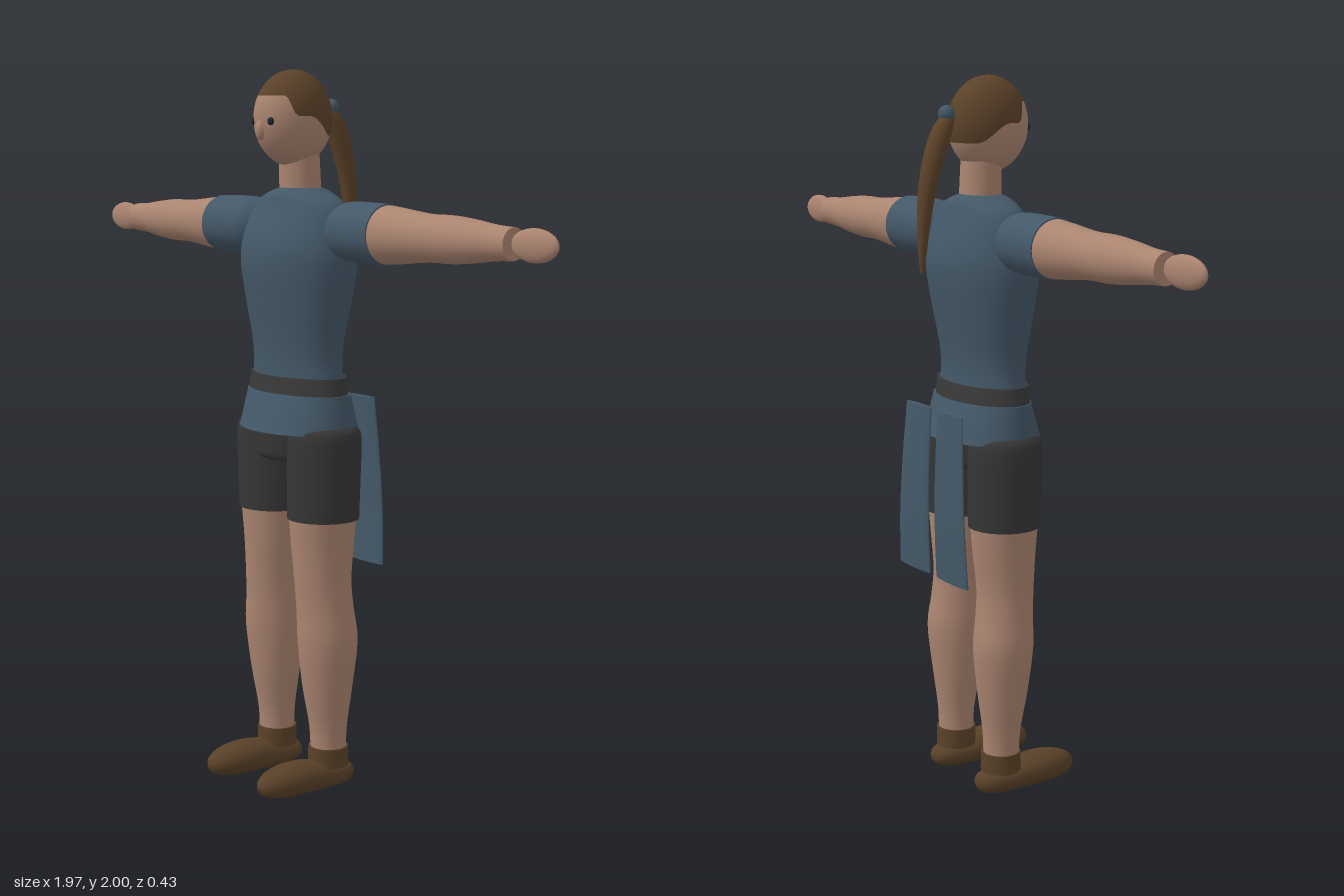
import * as THREE from 'three';

const mat = (name, color, side = THREE.FrontSide) => {
  const m = new THREE.MeshStandardMaterial({ color, side });
  m.name = name;
  return m;
};

// Stacked ellipses; rows run upward as [y, centreX, centreZ, radiusX, radiusZ].
// steps > 1 smooths the profile between rows.
function loft(rows, steps = 1, seg = 32) {
  const curve = new THREE.CubicInterpolant(rows.map((_, i) => i), rows.flat(), 5);
  const count = (rows.length - 1) * steps + 1;
  const pos = [], idx = [];
  const ring = (r) => {
    for (let j = 0; j < seg; j++) {
      const a = (j / seg) * Math.PI * 2;
      pos.push(r[1] + r[3] * Math.cos(a), r[0], r[2] + r[4] * Math.sin(a));
    }
  };
  for (let i = 0; i < count; i++) {
    ring(i % steps === 0 ? rows[i / steps] : Array.from(curve.evaluate(i / steps)));
    if (i === 0) continue;
    for (let j = 0; j < seg; j++) {
      const k = (j + 1) % seg, lo = (i - 1) * seg, hi = i * seg;
      idx.push(lo + j, hi + j, lo + k, hi + j, hi + k, lo + k);
    }
  }
  // End caps
  [[rows[0], false], [rows[rows.length - 1], true]].forEach(([r, top]) => {
    const start = pos.length / 3;
    ring(r);
    pos.push(r[1], r[0], r[2]);
    for (let j = 0; j < seg; j++) {
      const a = start + j, b = start + (j + 1) % seg, c = start + seg;
      idx.push(...(top ? [c, b, a] : [c, a, b]));
    }
  });
  const g = new THREE.BufferGeometry();
  g.setAttribute('position', new THREE.Float32BufferAttribute(pos, 3));
  g.setIndex(idx);
  g.computeVertexNormals();
  return g;
}

// Part of the head ellipsoid above (hair) or below (face) the hairline
function headPart(hair) {
  const R = new THREE.Vector3(0.093, 0.13, 0.115);
  const g = hair ? new THREE.SphereGeometry(1, 64, 20, 0, Math.PI * 2, 0, 1)
    : new THREE.SphereGeometry(1, 64, 24, 0, Math.PI * 2, 0.5, Math.PI);
  const { position, normal, uv } = g.attributes;
  const p = new THREE.Vector3(), smooth = THREE.MathUtils.smoothstep;
  for (let i = 0; i < position.count; i++) {
    const phi = uv.getX(i) * Math.PI * 2, t = 1 - uv.getY(i), front = Math.sin(phi);
    const line = Math.acos(0.04 + 0.42 * smooth(front, 0.4, 0.7) - 0.4 * (1 - smooth(front, -0.7, 0.1)));
    const theta = hair ? t * line : line + t * (Math.PI - line);
    p.set(-Math.cos(phi) * Math.sin(theta), Math.cos(theta), front * Math.sin(theta));
    position.setXYZ(i, p.x * R.x, p.y * R.y, p.z * R.z);
    p.divide(R).normalize();
    normal.setXYZ(i, p.x, p.y, p.z);
  }
  return g.translate(0, 1.87, 0.008);
}

export function createModel() {
  const model = new THREE.Group();
  model.name = 'figure';
  const skin = mat('skin', 0xaa8470), cloth = mat('blue cloth', 0x445868);
  const dark = mat('dark shorts', 0x363636), leather = mat('belt', 0x3a3a3b);
  const hair = mat('brown hair', 0x5c4229), shoe = mat('brown leather', 0x594128);
  const eye = mat('eye', 0x22262e);

  const add = (name, geometry, material) => {
    const m = new THREE.Mesh(geometry, material);
    m.name = name;
    model.add(m);
    return m;
  };
  const ball = (name, material, c, r) => {
    const m = add(name, new THREE.SphereGeometry(1, 24, 16), material);
    m.position.set(...c);
    m.scale.set(...r);
    return m;
  };

  // Head and neck
  add('face', headPart(false), skin);
  add('hair', headPart(true), hair);
  ball('nose', skin, [0, 1.838, 0.117], [0.015, 0.027, 0.015]);
  add('neck', loft([[1.65, 0, -0.018, 0.058, 0.058], [1.81, 0, -0.012, 0.055, 0.055]]), skin);

  // Ponytail and its tie
  add('ponytail', loft([
    [1.48, 0, -0.201, 0.005, 0.005], [1.53, 0, -0.2, 0.012, 0.011], [1.6, 0, -0.196, 0.018, 0.017],
    [1.7, 0, -0.184, 0.026, 0.024], [1.79, 0, -0.161, 0.031, 0.029], [1.86, 0, -0.136, 0.029, 0.028],
    [1.9, 0, -0.115, 0.016, 0.018],
  ], 4, 20), hair);
  ball('hairTie', cloth, [0, 1.9, -0.122], [0.024, 0.023, 0.022]);

  // Shirt, belt, hem and seat of the shorts
  add('shirt', loft([
    [1.13, 0, -0.01, 0.172, 0.095], [1.2, 0, -0.008, 0.16, 0.094], [1.27, 0, -0.008, 0.164, 0.1],
    [1.38, 0, -0.01, 0.186, 0.119], [1.48, 0, -0.011, 0.2, 0.133], [1.55, 0, -0.012, 0.192, 0.126],
    [1.635, 0, -0.016, 0.165, 0.093], [1.668, 0, -0.017, 0.102, 0.082], [1.685, 0, -0.018, 0.05, 0.056],
  ], 4, 48), cloth);
  add('belt', loft([[1.118, 0, -0.01, 0.184, 0.103], [1.172, 0, -0.01, 0.175, 0.099]], 1, 48), leather);
  add('hem', loft([[1.02, 0, -0.012, 0.2, 0.143], [1.125, 0, -0.012, 0.188, 0.107]], 1, 48), cloth);
  add('shortsSeat', loft([
    [0.936, 0, -0.011, 0.08, 0.095], [0.943, 0, -0.011, 0.097, 0.113],
    [0.96, 0, -0.011, 0.107, 0.119], [1.05, 0, -0.011, 0.112, 0.121],
  ]), dark);

  for (const s of [1, -1]) {
    const side = s > 0 ? 'left' : 'right';
    ball(side + 'Eye', eye, [s * 0.037, 1.862, 0.11], [0.011, 0.011, 0.009]);

    // Leg, shorts, ankle cuff
    const x = s * 0.12;
    add(side + 'Leg', loft([
      [0.08, s * 0.121, -0.025, 0.049, 0.05], [0.18, s * 0.121, -0.024, 0.053, 0.053],
      [0.3, s * 0.121, -0.021, 0.07, 0.071], [0.43, s * 0.123, -0.02, 0.083, 0.085],
      [0.52, s * 0.119, -0.014, 0.079, 0.081], [0.6, s * 0.115, -0.009, 0.077, 0.081],
      [0.7, s * 0.111, -0.01, 0.084, 0.089], [0.8, s * 0.112, -0.01, 0.093, 0.096],
    ], 4), skin);
    add(side + 'ShortsLeg', loft([
      [0.78, s * 0.113, -0.011, 0.1, 0.1], [0.9, s * 0.115, -0.011, 0.101, 0.103],
      [1.0, s * 0.118, -0.011, 0.099, 0.104], [1.03, s * 0.118, -0.011, 0.09, 0.095],
      [1.05, s * 0.118, -0.011, 0.06, 0.065],
    ], 2), dark);
    add(side + 'AnkleCuff', loft([[0.07, x, -0.025, 0.057, 0.057], [0.125, x, -0.025, 0.056, 0.056]]), shoe);

    // Shoe, lofted heel to toe
    add(side + 'Shoe', loft([
      [-0.105, x, -0.042, 0.005, 0.005], [-0.097, x, -0.041, 0.026, 0.021], [-0.07, x, -0.04, 0.043, 0.033],
      [-0.01, x, -0.043, 0.051, 0.04], [0.06, x, -0.05, 0.057, 0.046], [0.12, x, -0.051, 0.057, 0.046],
      [0.17, x, -0.049, 0.047, 0.039], [0.205, x, -0.047, 0.026, 0.024], [0.217, x, -0.047, 0.005, 0.005],
    ], 3).rotateX(Math.PI / 2), shoe);

    // Arm, lofted outward from the shoulder as [x, height, z, half height, half depth]
    const limb = (rows) =>
      loft(rows.map(([d, h, ...rest]) => [d, -s * h, ...rest]), 4).rotateZ(-s * Math.PI / 2);
    add(side + 'Sleeve', limb([
      [0.15, 1.572, -0.022, 0.02, 0.02], [0.167, 1.572, -0.022, 0.052, 0.05], [0.195, 1.572, -0.022, 0.073, 0.072],
      [0.24, 1.572, -0.022, 0.081, 0.08], [0.37, 1.571, -0.022, 0.08, 0.079],
    ]), cloth);
    add(side + 'Arm', limb([
      [0.35, 1.571, -0.022, 0.078, 0.077], [0.42, 1.57, -0.022, 0.073, 0.071], [0.53, 1.57, -0.023, 0.062, 0.06],
      [0.62, 1.57, -0.024, 0.061, 0.058], [0.7, 1.57, -0.025, 0.054, 0.052], [0.77, 1.57, -0.026, 0.045, 0.043],
      [0.835, 1.57, -0.027, 0.041, 0.039],
    ]), skin);
    ball(side + 'Hand', skin, [s * 0.906, 1.57, -0.027], [0.08, 0.042, 0.02]);

    // Coat tail panel, flaring outward toward the bottom
    add(side + 'CoatTail', loft([
      [0.635, s * 0.099, -0.171, 0.082, 0.01], [0.79, s * 0.094, -0.176, 0.077, 0.011],
      [0.95, s * 0.088, -0.173, 0.071, 0.011], [1.105, s * 0.082, -0.165, 0.064, 0.01],
    ], 3), cloth);
  }
  return model;
}
